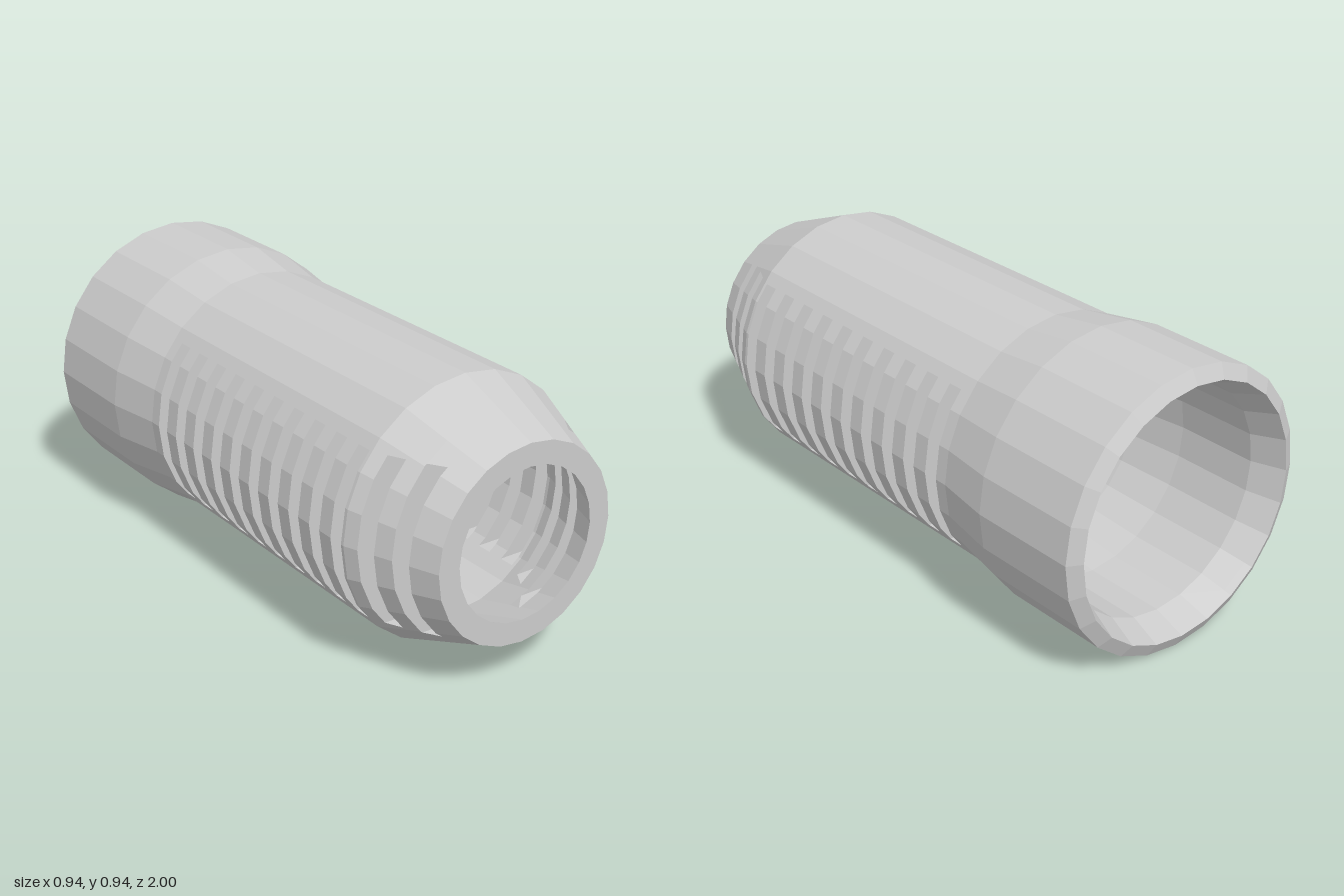
import * as THREE from 'three';

const SIDES = 24, STEP = (Math.PI * 2) / SIDES;
const CENTRE_Y = 0.473, HALF_SLOT = 0.275;

// Radius profiles along z: [z, radius], back to front
const OUTER = [[-1, 0.425], [-0.975, 0.472], [-0.6, 0.472], [-0.4, 0.44], [0.7, 0.44], [1, 0.325]];
const INNER = [[-1, 0.425], [-0.89, 0.385], [-0.6, 0.385], [-0.4, 0.36], [0.7, 0.36], [1, 0.25]];

// Twelve evenly spaced vent slots: [back z, front z]
const SLOTS = Array.from({ length: 12 }, (_, i) => [-0.355 + i * 0.11, -0.302 + i * 0.11]);

function radiusAt(profile, z) {
  for (let i = 1; i < profile.length; i++) {
    const [z0, r0] = profile[i - 1], [z1, r1] = profile[i];
    if (z <= z1 + 1e-6) return r0 + ((r1 - r0) * (z - z0)) / (z1 - z0);
  }
  return profile[profile.length - 1][1];
}

// x where the faceted ring of radius r crosses the slot's top or bottom plane
function crossing(r) {
  let k = 0;
  while (r * Math.cos((k + 1) * STEP) >= HALF_SLOT) k++;
  const ya = r * Math.cos(k * STEP), yb = r * Math.cos((k + 1) * STEP);
  const f = (ya - HALF_SLOT) / (ya - yb);
  return r * THREE.MathUtils.lerp(Math.sin(k * STEP), Math.sin((k + 1) * STEP), f);
}

// Arc of ring points, clockwise from the top; 'cap' keeps the part above a slot, 'side' the part beside it
function arc(profile, z, kind) {
  const r = radiusAt(profile, z), pts = [];
  const [from, to] = { full: [0, SIDES], cap: [-6, 6], side: [0, 12] }[kind];
  for (let k = from; k <= to; k++) {
    let x = r * Math.sin(k * STEP), y = r * Math.cos(k * STEP);
    if (kind === 'cap' && y < HALF_SLOT) {
      x = Math.sign(k) * crossing(r);
      y = HALF_SLOT;
    } else if (kind === 'side' && Math.abs(y) > HALF_SLOT) {
      x = crossing(r);
      y = Math.sign(y) * HALF_SLOT;
    }
    pts.push([x, y, z]);
  }
  return pts;
}

// Collects flat quads; turn = -1 gives the copy rotated half a turn about z
class Surface {
  positions = [];
  quad(a, b, c, d, turn = 1) {
    for (const p of [a, b, c, a, c, d]) this.positions.push(p[0] * turn, p[1] * turn + CENTRE_Y, p[2]);
  }
  strip(a, b, turn = 1) {
    for (let i = 0; i + 1 < a.length; i++) this.quad(a[i], b[i], b[i + 1], a[i + 1], turn);
  }
  mesh(name, material) {
    const geometry = new THREE.BufferGeometry();
    geometry.setAttribute('position', new THREE.Float32BufferAttribute(this.positions, 3));
    geometry.computeVertexNormals();
    const mesh = new THREE.Mesh(geometry, material);
    mesh.name = name;
    return mesh;
  }
}

export function createModel() {
  const group = new THREE.Group();
  group.name = 'ventedSleeve';
  const material = new THREE.MeshStandardMaterial({ color: 0xcccccc, flatShading: true });
  const outside = new Surface(), bore = new Surface(), slotWalls = new Surface(), frontRim = new Surface();

  // Stations at every change of radius and every slot edge
  const stations = [...new Set([...OUTER, ...INNER].map((p) => p[0]).concat(SLOTS.flat()))].sort((a, b) => a - b);

  for (let i = 0; i + 1 < stations.length; i++) {
    const z0 = stations[i], z1 = stations[i + 1], mid = (z0 + z1) / 2;
    const slotted = SLOTS.some(([a, b]) => mid > a && mid < b);
    const kind = slotted ? 'cap' : 'full';
    const o0 = arc(OUTER, z0, kind), o1 = arc(OUTER, z1, kind);
    const i0 = arc(INNER, z0, kind), i1 = arc(INNER, z1, kind);
    for (const turn of slotted ? [1, -1] : [1]) {
      outside.strip(o0, o1, turn);
      bore.strip(i1, i0, turn);
      if (!slotted) continue;
      // Level top and bottom of the slots
      const e = o0.length - 1;
      slotWalls.quad(i0[e], o0[e], o1[e], i1[e], turn);
      slotWalls.quad(i1[0], o1[0], o0[0], i0[0], turn);
    }
  }

  // Curved rib faces at both ends of each slot
  for (const [back, front] of SLOTS) {
    for (const turn of [1, -1]) {
      slotWalls.strip(arc(OUTER, back, 'side'), arc(INNER, back, 'side'), turn);
      slotWalls.strip(arc(INNER, front, 'side'), arc(OUTER, front, 'side'), turn);
    }
  }

  // Flat ring around the front opening
  frontRim.strip(arc(OUTER, 1, 'full'), arc(INNER, 1, 'full'));

  group.add(
    outside.mesh('outerShell', material),
    bore.mesh('bore', material),
    slotWalls.mesh('ventSlotWalls', material),
    frontRim.mesh('frontRim', material),
  );
  return group;
}
